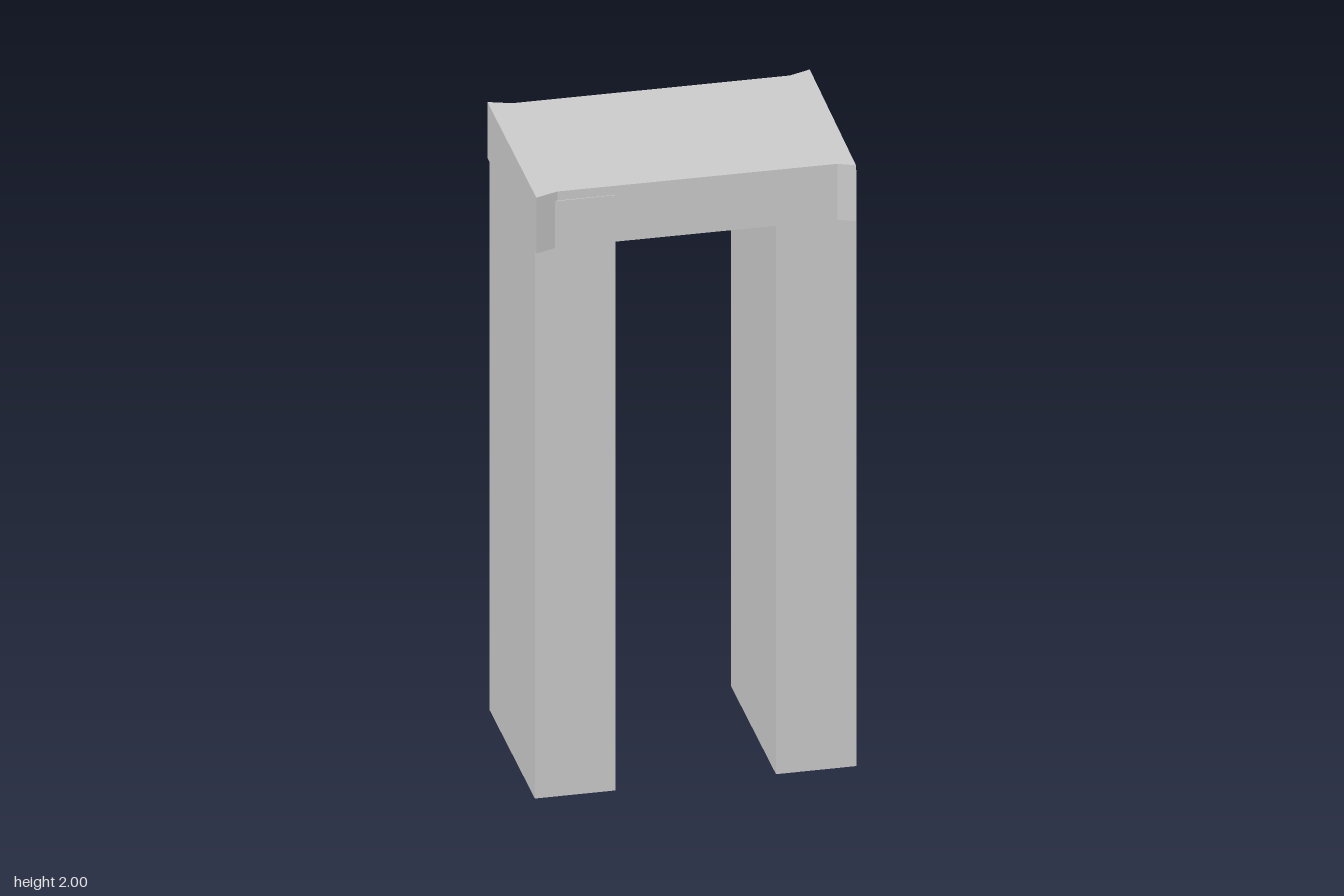
import * as THREE from 'three';

const BEAM_BOTTOM = 1.815;
const HEIGHT = 2;

export function createModel() {
  const group = new THREE.Group();
  group.name = 'gateway';
  const material = new THREE.MeshStandardMaterial({ color: 0xcccccc, flatShading: true });

  const add = (name, geometry) => {
    const mesh = new THREE.Mesh(geometry, material);
    mesh.name = name;
    group.add(mesh);
    return mesh;
  };

  // Two slab posts; their outer tops run up into the beam
  const postTop = 1.97;
  for (const side of [-1, 1]) {
    const post = add(side > 0 ? 'leftPost' : 'rightPost', new THREE.BoxGeometry(0.245, postTop, 0.604));
    post.position.set(side * 0.3665, postTop / 2, 0.001);
  }

  // Beam outline seen from above (x, z), with flared corners
  const outline = [
    [-0.49, 0.326], [-0.42, 0.3], [0.43, 0.304], [0.482, 0.326],
    [0.49, -0.328], [0.424, -0.302], [-0.42, -0.304], [-0.49, -0.328],
  ].map(([x, z]) => new THREE.Vector2(x, -z));
  const beam = new THREE.ExtrudeGeometry(new THREE.Shape(outline), {
    depth: HEIGHT - BEAM_BOTTOM,
    bevelEnabled: false,
  });
  beam.rotateX(-Math.PI / 2);
  add('beam', beam).position.y = BEAM_BOTTOM;

  return group;
}
